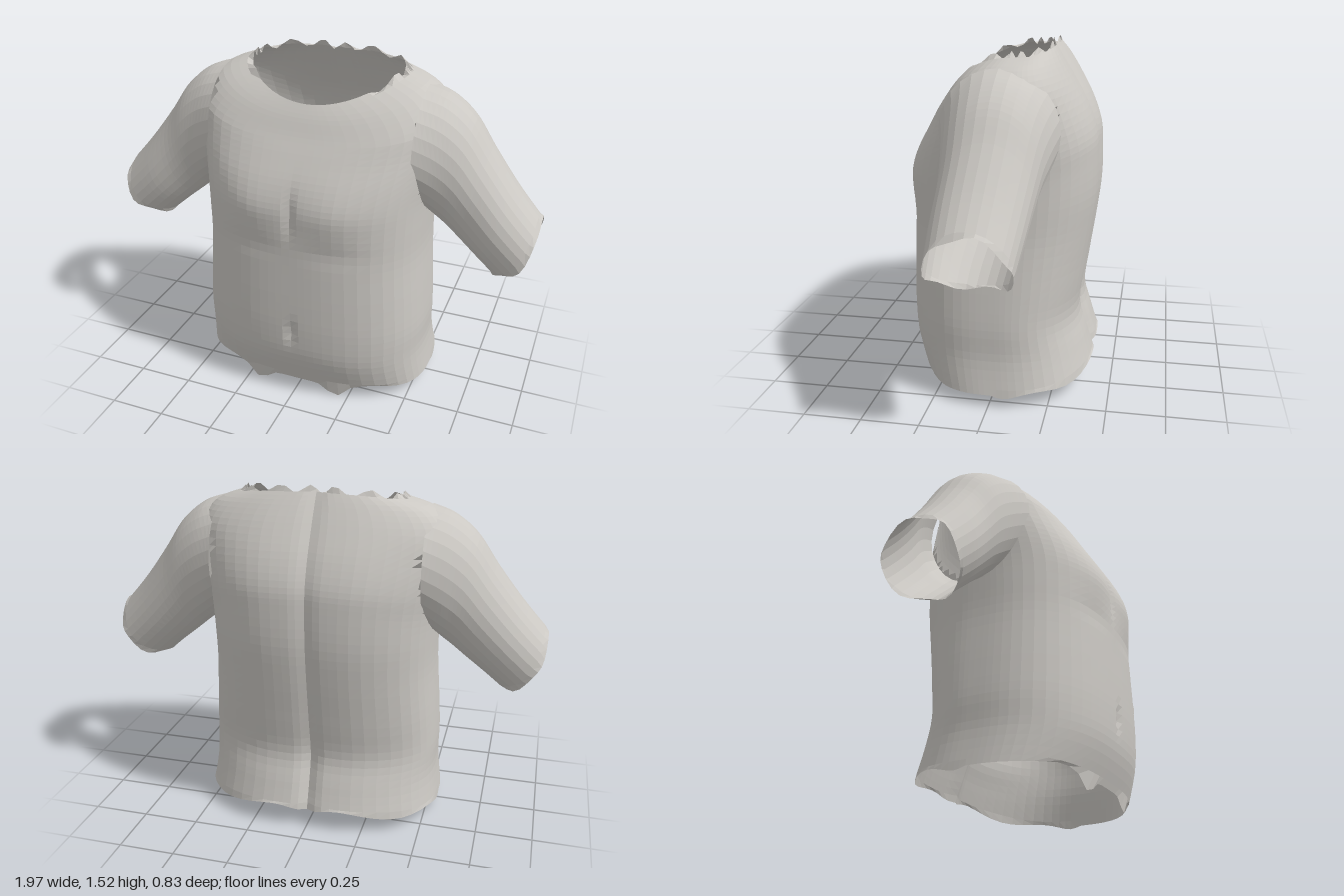
import * as THREE from 'three';

const fabric = new THREE.MeshStandardMaterial({ color: 0xcbc8c3, flatShading: true, side: THREE.DoubleSide });
fabric.name = 'light grey fabric';

// Torso rings: front y, front z, half width, side y, side z, back y, back z
const TORSO = [
  [0.05, 0.35, 0.55, 0.05, -0.01, 0.09, -0.41],
  [0.20, 0.40, 0.53, 0.20, 0, 0.20, -0.375],
  [0.34, 0.413, 0.53, 0.34, 0, 0.33, -0.34],
  [0.50, 0.413, 0.52, 0.50, 0, 0.50, -0.36],
  [0.70, 0.408, 0.505, 0.70, 0, 0.70, -0.39],
  [0.85, 0.408, 0.505, 0.85, 0, 0.87, -0.41],
  [0.96, 0.405, 0.51, 0.97, -0.01, 1.03, -0.41],
  [1.06, 0.375, 0.525, 1.08, -0.02, 1.13, -0.40],
  [1.16, 0.32, 0.545, 1.20, -0.03, 1.24, -0.36],
  [1.24, 0.27, 0.55, 1.33, -0.05, 1.35, -0.30],
  [1.31, 0.23, 0.48, 1.42, -0.06, 1.44, -0.245],
  [1.36, 0.195, 0.345, 1.47, -0.075, 1.50, -0.205],
];

// Sleeve rings: top x, top y, bottom x, bottom y, front z, back z
const SLEEVE = [
  [0.46, 1.43, 0.46, 0.92, 0.215, -0.285],
  [0.56, 1.395, 0.53, 0.86, 0.185, -0.262],
  [0.66, 1.315, 0.58, 0.82, 0.168, -0.24],
  [0.755, 1.18, 0.64, 0.77, 0.16, -0.22],
  [0.87, 1.03, 0.72, 0.705, 0.165, -0.20],
  [0.985, 0.90, 0.795, 0.64, 0.16, -0.18],
];

// Smooth interpolation between rings, s from 0 to 1
function ringAt(rings, s) {
  const f = s * (rings.length - 1), i = Math.min(Math.floor(f), rings.length - 2), t = f - i;
  const at = k => rings[Math.max(0, Math.min(rings.length - 1, k))];
  return rings[i].map((b, c) => {
    const a = at(i - 1)[c], d = at(i + 1)[c], e = at(i + 2)[c];
    return b + 0.5 * t * (d - a + t * (2 * a - 5 * b + 4 * d - e + t * (3 * (b - d) + e - a)));
  });
}

const bump = (v, centre, width) => Math.exp(-(((v - centre) / width) ** 2));

// Squareness of a torso ring; the neckline is rounder in front
const ringPower = (s, front) => 0.74 + (front ? 0.26 * Math.max(0, (s - 0.8) / 0.2) : 0);

function torsoPoint(s, step) {
  const [yf, zf, w, ys, zs, yb, zb] = ringAt(TORSO, s);
  // corners are crowded towards the four middles for an even spread
  const angle = step - 0.17 * Math.sin(4 * step);
  const c = Math.cos(angle), n = Math.sin(angle), front = n > 0;
  const power = ringPower(s, front);
  const x = w * Math.sign(c) * Math.abs(c) ** power;
  let z = zs + ((front ? zf : zb) - zs) * Math.abs(n) ** power;
  let y = ys + ((front ? yf : yb) - ys) * n * n;
  if (front) {
    // chest fullness, centre crease and navel
    z += n * (0.012 * bump(Math.abs(x), 0.19, 0.12) * bump(y, 0.95, 0.12)
      - 0.014 * bump(x, 0, 0.025) * bump(y, 0.94, 0.09)
      - 0.006 * bump(Math.abs(x), 0.2, 0.14) * bump(y, 0.77, 0.05)
      - 0.014 * bump(x, 0, 0.02) * bump(y, 0.35, 0.05));
  } else {
    // spine groove, deepest at the waist
    z += (0.016 + 0.014 * bump(y, 0.22, 0.2)) * bump(x, 0, 0.035) - 0.008 * bump(Math.abs(x), 0.2, 0.12);
  }
  // uneven hem and frayed neckline
  if (s === 0) y += front ? 0.02 * bump(Math.abs(x), 0.36, 0.1) - 0.06 * bump(Math.abs(x), 0.19, 0.05) : 0.012 * Math.sin(step * 9);
  if (s === 1 && n < 0.6) y += 0.018 * Math.sin(step * 16);
  return [x, y, z];
}

function sleevePoint(s, angle) {
  const [tx, ty, bx, by, zf, zb] = ringAt(SLEEVE, s);
  const c = Math.cos(angle), n = Math.sin(angle);
  // the cuff bows outwards at front and back
  const bow = 0.045 * s ** 4 * n * n;
  const drop = s === 1 ? 0.01 * Math.sin(angle * 5) : 0;
  return [(tx + bx) / 2 + c * (tx - bx) / 2 + bow, (ty + by) / 2 + c * (ty - by) / 2 + drop - bow * 0.7,
    (zf + zb) / 2 - n * (zf - zb) / 2];
}

// True where a point lies well inside the torso
function insideTorso([x, y, z]) {
  let best = 0.03, value = 9;
  for (let k = 0; k <= 80; k++) {
    const [yf, zf, w, ys, zs, yb, zb] = ringAt(TORSO, k / 80);
    const front = z > zs, power = ringPower(k / 80, front);
    const fx = Math.abs(x / w) ** (2 / power);
    const fz = Math.abs((z - zs) / ((front ? zf : zb) - zs)) ** (2 / power);
    const gap = Math.abs(ys + ((front ? yf : yb) - ys) * fz / (fx + fz + 1e-6) - y);
    if (gap < best) { best = gap; value = fx + fz; }
  }
  return value < 0.86;
}

// True where a point lies well inside either sleeve
function insideSleeve([px, y, z]) {
  const x = Math.abs(px);
  let best = 0.03, value = 9;
  for (let k = 0; k <= 60; k++) {
    const [tx, ty, bx, by, zf, zb] = ringAt(SLEEVE, k / 60);
    const hx = (tx - bx) / 2, hy = (ty - by) / 2, h = Math.hypot(hx, hy);
    const dx = x - (tx + bx) / 2, dy = y - (ty + by) / 2;
    const gap = Math.abs(dx * hy - dy * hx) / h;
    if (gap < best) {
      best = gap;
      value = ((dx * hx + dy * hy) / (h * h)) ** 2 + ((2 * z - zf - zb) / (zf - zb)) ** 2;
    }
  }
  return value < 0.88;
}

// Open tube through all rings, leaving out hidden faces
function loft(point, rows, sides, hidden) {
  const positions = [], index = [];
  for (let i = 0; i <= rows; i++)
    for (let j = 0; j < sides; j++) positions.push(...point(i / rows, (j / sides) * Math.PI * 2));
  const vertex = k => positions.slice(k * 3, k * 3 + 3);
  const addFace = (...tri) => {
    const [a, b, c] = tri.map(vertex);
    if (!hidden(a.map((v, k) => (v + b[k] + c[k]) / 3))) index.push(...tri);
  };
  for (let i = 0; i < rows; i++)
    for (let j = 0; j < sides; j++) {
      const a = i * sides + j, b = i * sides + (j + 1) % sides;
      addFace(a, a + sides, b);
      addFace(b, a + sides, b + sides);
    }
  const geometry = new THREE.BufferGeometry();
  geometry.setAttribute('position', new THREE.Float32BufferAttribute(positions, 3));
  geometry.setIndex(index);
  geometry.computeVertexNormals();
  return geometry;
}

export function createModel() {
  const shirt = new THREE.Group();
  shirt.name = 'shirt';

  const body = new THREE.Mesh(loft(torsoPoint, 44, 72, insideSleeve), fabric);
  body.name = 'shirtBody';
  shirt.add(body);

  // Mirrored sleeves
  const sleeveGeometry = loft(sleevePoint, 24, 28, insideTorso);
  for (const [name, side] of [['leftSleeve', 1], ['rightSleeve', -1]]) {
    const sleeve = new THREE.Mesh(sleeveGeometry, fabric);
    sleeve.name = name;
    sleeve.scale.x = side;
    shirt.add(sleeve);
  }
  return shirt;
}
